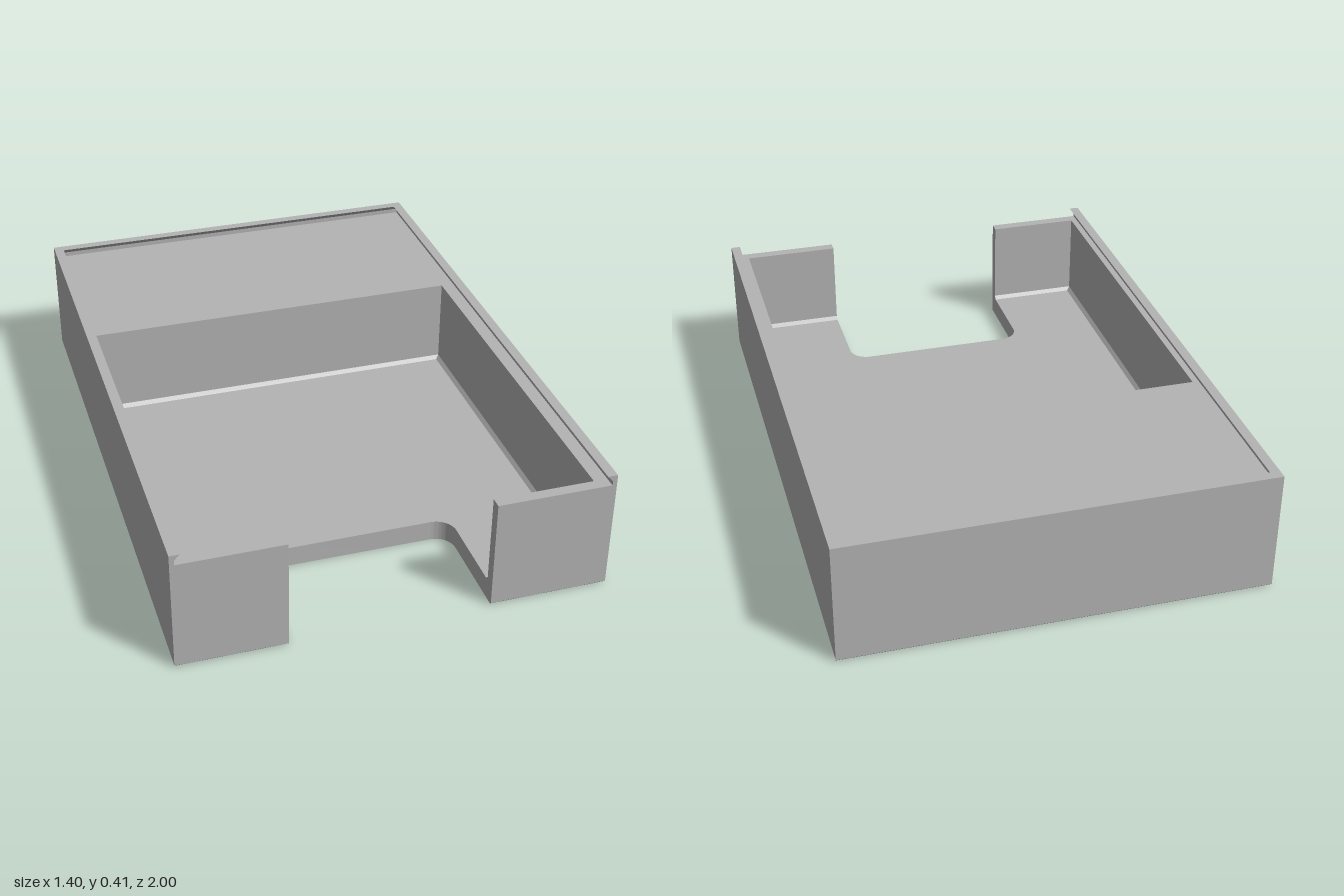
import * as THREE from 'three';
import { toCreasedNormals } from 'three/addons/utils/BufferGeometryUtils.js';

const W = 0.7, L = 1;                       // half width, half length
const FLOOR = 0.07, LEDGE = 0.38, TOP = 0.415;
const BEVEL = 0.006, FILLET = 0.012;
const CAV = { x0: -0.663, x1: 0.64, z0: -0.35, z1: 0.963 };
const NOTCH = { x0: -0.345, x1: 0.31, z: 0.63, r: 0.065 };

// Extrude a plan drawn in x/z between two heights
function slab(shape, y0, y1) {
  const g = new THREE.ExtrudeGeometry(shape, { depth: y1 - y0, bevelEnabled: false, curveSegments: 10 });
  return g.rotateX(Math.PI / 2).translate(0, y1, 0);
}

// Floor outline with the rounded finger notch at the front
function floorPlan() {
  const { x0, x1, z, r } = NOTCH;
  const s = new THREE.Shape();
  s.moveTo(-W, -L);
  s.lineTo(W, -L);
  s.lineTo(W, L);
  s.lineTo(x1, L);
  s.lineTo(x1, z + r);
  s.absarc(x1 - r, z + r, r, 0, -Math.PI / 2, true);
  s.lineTo(x0 + r, z);
  s.absarc(x0 + r, z + r, r, -Math.PI / 2, -Math.PI, true);
  s.lineTo(x0, L);
  s.lineTo(-W, L);
  s.closePath();
  return s;
}

// Walls and rear block surrounding the cavity, open at the notch
function wallPlan() {
  const c = CAV, n = NOTCH;
  return new THREE.Shape([
    [-W, -L], [W, -L], [W, L], [n.x1, L], [n.x1, c.z1], [c.x1, c.z1],
    [c.x1, c.z0], [c.x0, c.z0], [c.x0, c.z1], [n.x0, c.z1], [n.x0, L], [-W, L],
  ].map(([x, z]) => new THREE.Vector2(x, z)));
}

// Undercut rail for a sliding lid; place(d, t) gives [x, z] from inset d and end t
function rail(place) {
  const profile = new THREE.Shape([
    [0, LEDGE], [0.015, LEDGE], [0.015, 0.396], [0.033, TOP], [0, TOP],
  ].map(([d, y]) => new THREE.Vector2(d, y)));
  const g = new THREE.ExtrudeGeometry(profile, { depth: 1, bevelEnabled: false });
  const p = g.attributes.position;
  for (let i = 0; i < p.count; i++) {
    const [x, z] = place(p.getX(i), p.getZ(i));
    p.setXYZ(i, x, p.getY(i), z);
  }
  g.computeVertexNormals();
  return g;
}

// Small sloped strip where the cavity floor meets a wall
function filletStrip(length, angle, x, z) {
  const s = new THREE.Shape([
    new THREE.Vector2(0, 0), new THREE.Vector2(FILLET, 0), new THREE.Vector2(0, FILLET),
  ]);
  return new THREE.ExtrudeGeometry(s, { depth: length, bevelEnabled: false })
    .translate(0, 0, -length / 2).rotateY(angle).translate(x, FLOOR, z);
}

export function createModel() {
  const group = new THREE.Group();
  const grey = new THREE.MeshStandardMaterial({ color: 0xb4b4b4 });
  grey.name = 'grey';
  const add = (name, geometry) => {
    const m = new THREE.Mesh(geometry, grey);
    m.name = name;
    group.add(m);
  };

  // Base, with its outer bottom edge drawn in slightly
  const edge = slab(floorPlan(), 0, BEVEL);
  const p = edge.attributes.position;
  for (let i = 0; i < p.count; i++) {
    if (p.getY(i) > BEVEL / 2) continue;
    p.setX(i, THREE.MathUtils.clamp(p.getX(i), -W + BEVEL, W - BEVEL));
    p.setZ(i, THREE.MathUtils.clamp(p.getZ(i), -L + BEVEL, L - BEVEL));
  }
  edge.computeVertexNormals();
  add('bottomEdge', toCreasedNormals(edge, 0.5));
  add('floor', toCreasedNormals(slab(floorPlan(), BEVEL, FLOOR), 0.5));
  add('walls', slab(wallPlan(), FLOOR, LEDGE));

  // Lid rails, mitred at the rear corners and open at the front
  add('leftRail', rail((d, t) => [W - d, t ? -L + d : L]));
  add('rightRail', rail((d, t) => [-W + d, t ? L : -L + d]));
  add('backRail', rail((d, t) => [t ? -W + d : W - d, -L + d]));

  // Cavity floor fillets
  const { x0, x1, z0, z1 } = CAV, n = NOTCH;
  const cx = (x0 + x1) / 2, cz = (z0 + z1) / 2;
  add('rightFillet', filletStrip(z1 - z0, 0, x0, cz));
  add('leftFillet', filletStrip(z1 - z0, Math.PI, x1, cz));
  add('backFillet', filletStrip(x1 - x0, -Math.PI / 2, cx, z0));
  add('frontRightFillet', filletStrip(n.x0 - x0, Math.PI / 2, (x0 + n.x0) / 2, z1));
  add('frontLeftFillet', filletStrip(x1 - n.x1, Math.PI / 2, (x1 + n.x1) / 2, z1));
  return group;
}
